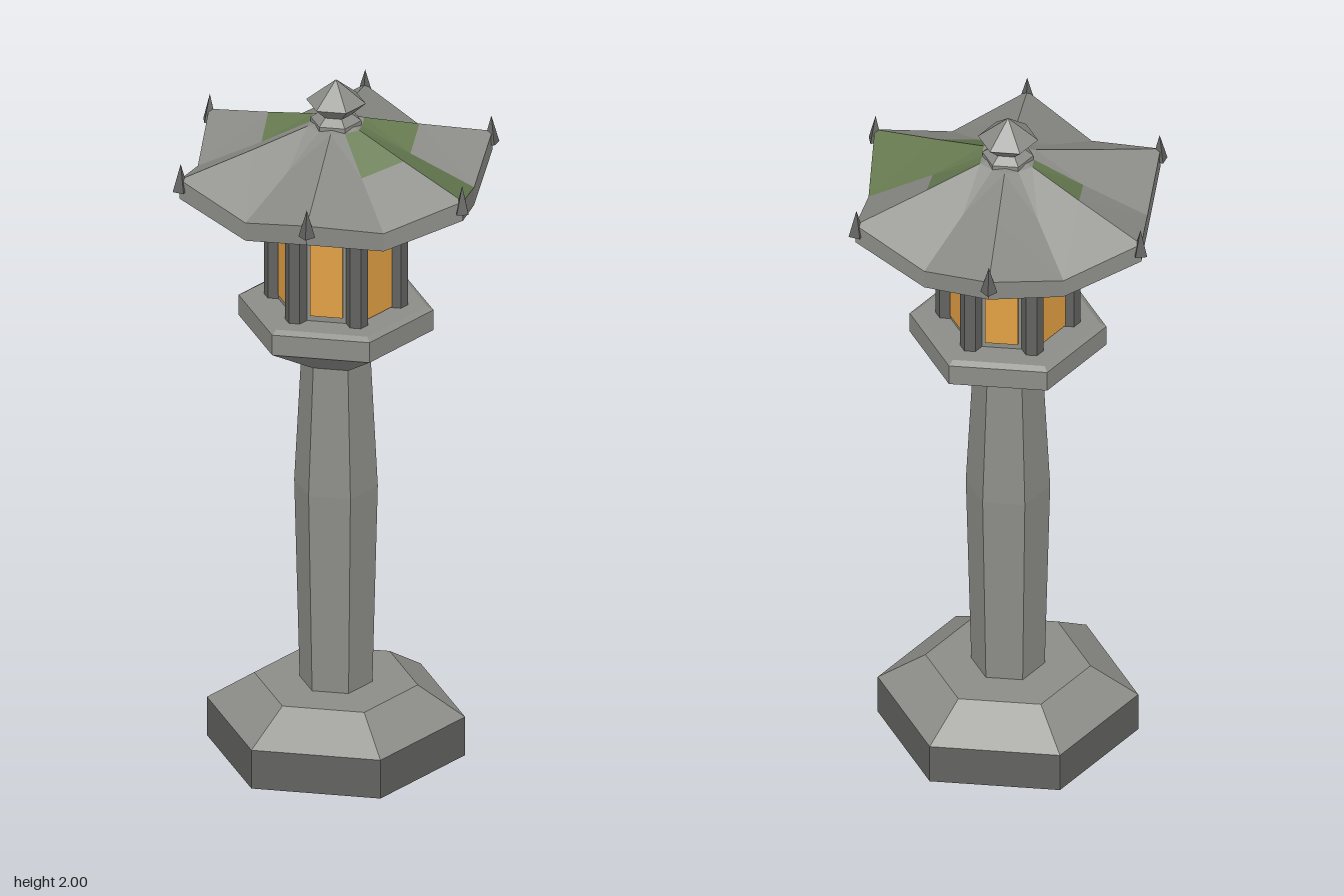
import * as THREE from 'three';

const mat = (name, color, double) => {
  const m = new THREE.MeshStandardMaterial({ color, flatShading: true });
  m.name = name;
  if (double) m.side = THREE.DoubleSide;
  return m;
};

export function createModel() {
  const group = new THREE.Group();
  const stone = mat('light stone', 0x8c8c88, true);
  const dark = mat('dark stone', 0x626260, true);
  const glow = mat('amber glass', 0xe2a044);
  const moss = mat('moss', 0x667a50);
  const roofStone = stone;

  const add = (name, geo, material, parent = group) => {
    const mesh = new THREE.Mesh(geo, material);
    mesh.name = name;
    parent.add(mesh);
    return mesh;
  };
  // Six-sided turned solid with corners on the x axis
  const hex = (name, profile, material) => add(name,
    new THREE.LatheGeometry(profile.map(p => new THREE.Vector2(p[0], p[1])), 6, Math.PI / 6), material);

  // Hollow base, shaft and platform
  hex('plinth', [[0.355, 0], [0.355, 0.115]], dark);
  hex('plinthBevel', [[0.355, 0.115], [0.225, 0.2], [0.09, 0.2]], stone);
  hex('shaft', [[0, 0.19], [0.1, 0.19], [0.115, 0.79], [0.095, 1.18]], stone);
  hex('platform', [[0, 1.17], [0.1, 1.17], [0.268, 1.27], [0.268, 1.33], [0.25, 1.34], [0, 1.34]], stone);

  // Light chamber: core, corner posts and glowing panes
  hex('chamberCore', [[0.168, 1.335], [0.168, 1.69]], stone);
  const chamber = new THREE.Group();
  chamber.name = 'lightChamber';
  group.add(chamber);
  for (let i = 0; i < 6; i++) {
    const a = i * Math.PI / 3, b = a + Math.PI / 6;
    const post = add('cornerPost', new THREE.CylinderGeometry(0.03, 0.03, 0.345, 6, 1, false, Math.PI / 6), dark, chamber);
    post.position.set(Math.sin(b) * 0.168, 1.5125, Math.cos(b) * 0.168);
    // Front and back panes are larger than the side panes
    const large = i % 3 === 0;
    const [w, y0, y1] = large ? [0.145, 1.343, 1.648] : [0.09, 1.357, 1.618];
    const pane = add('windowPane', new THREE.BoxGeometry(w, y1 - y0, 0.008), glow, chamber);
    pane.position.set(Math.sin(a) * 0.147, (y0 + y1) / 2, Math.cos(a) * 0.147);
    pane.rotation.y = a;
  }

  // Roof rings from crown to underside: [ridge radius, ridge y, valley radius, valley y]
  const rings = [
    [0.02, 1.88, 0.017, 1.88],
    [0.082, 1.873, 0.071, 1.868],
    [0.24, 1.828, 0.205, 1.795],
    [0.45, 1.772, 0.38, 1.708],
    [0.45, 1.715, 0.38, 1.655],
    [0.15, 1.685, 0.13, 1.678],
  ];
  const point = (r, k) => {
    const [cr, cy, vr, vy] = rings[r], t = k * Math.PI / 6;
    const rad = k % 2 ? vr : cr;
    return [Math.sin(t) * rad, k % 2 ? vy : cy, Math.cos(t) * rad];
  };
  const mossy = { 1: [0, 1, 6, 11], 2: [0] };
  const faces = { stone: [], moss: [] };
  for (let r = 0; r < rings.length - 1; r++) {
    for (let k = 0; k < 12; k++) {
      const A = point(r, k), B = point(r, k + 1), C = point(r + 1, k + 1), D = point(r + 1, k);
      const out = mossy[r]?.includes(k) ? faces.moss : faces.stone;
      // Creases run from each ridge down to the valley
      if (k % 2) out.push(...D, ...C, ...B, ...D, ...B, ...A);
      else out.push(...D, ...C, ...A, ...C, ...B, ...A);
    }
  }
  const surface = list => {
    const g = new THREE.BufferGeometry();
    g.setAttribute('position', new THREE.Float32BufferAttribute(list, 3));
    g.computeVertexNormals();
    return g;
  };
  add('roof', surface(faces.stone), roofStone);
  add('roofMoss', surface(faces.moss), moss);

  // Small upturned points on the roof corners
  for (let i = 0; i < 6; i++) {
    const a = i * Math.PI / 3;
    const spike = add('roofSpike', new THREE.ConeGeometry(0.023, 0.08, 4), dark);
    spike.position.set(Math.sin(a) * 0.447, 1.778, Math.cos(a) * 0.447);
    spike.rotation.y = a;
  }

  // Finial
  hex('finial', [[0.07, 1.86], [0.07, 1.882], [0.045, 1.9], [0.082, 1.934], [0, 2]], stone);
  return group;
}
